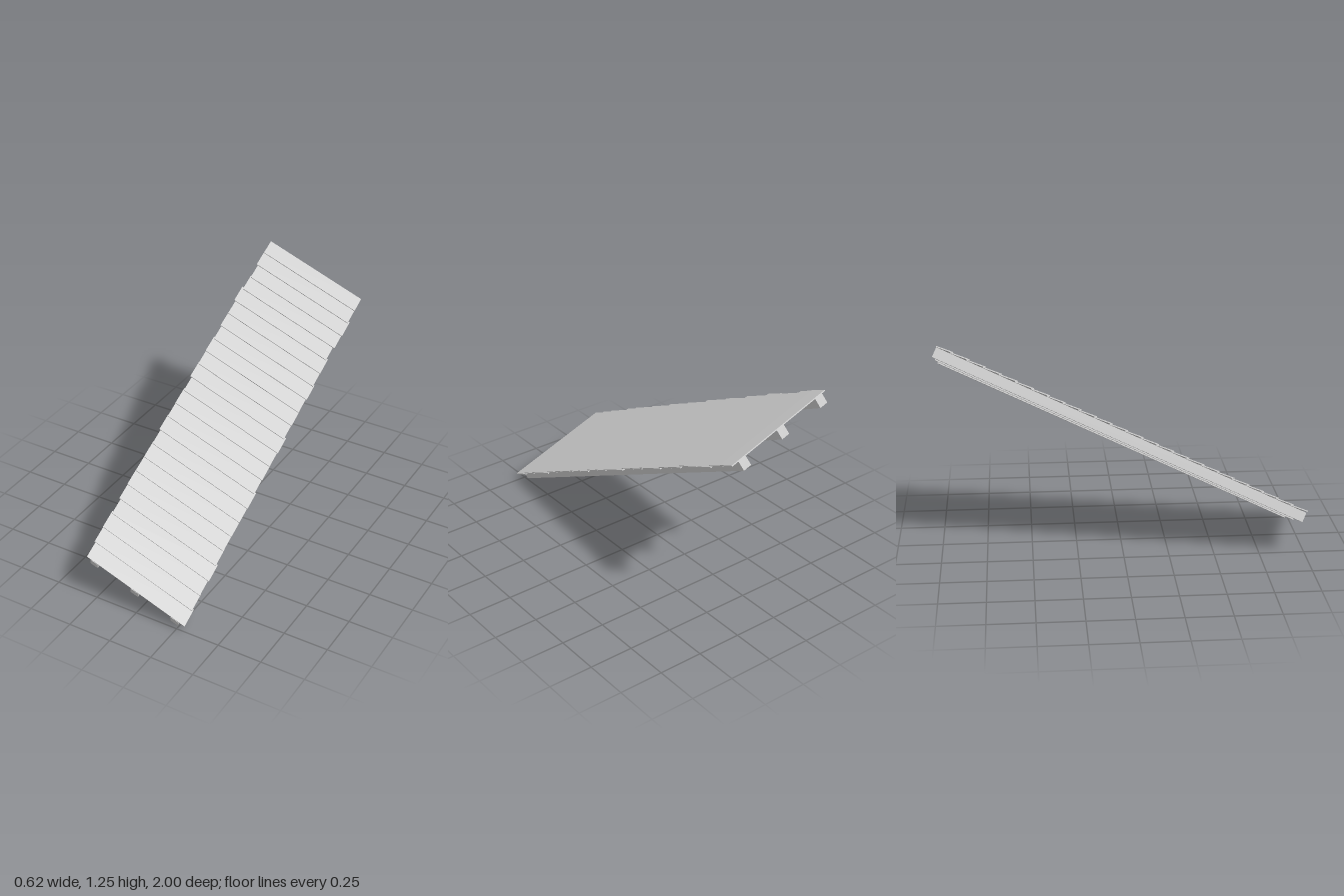
import * as THREE from 'three';

// Sloped deck plane: x and z stay world-aligned, y follows two slopes,
// and the local y axis is the true surface normal.
const slopeX = -0.37, slopeZ = -0.5;
const normal = new THREE.Vector3(-slopeX, 1, -slopeZ).normalize();
const slope = new THREE.Matrix4()
  .makeBasis(new THREE.Vector3(1, slopeX, 0), normal, new THREE.Vector3(0, slopeZ, 1))
  .setPosition(0, 0.645, 0);

const backZ = -0.975, frontZ = 1.0;
const rows = 24, pitch = (frontZ - backZ) / rows;
const plankLength = 0.597, plankThick = 0.006, lift = 0.007, overlap = 0.012;

// Sideways offset of each plank, back to front, in thousandths
const offsets = [0, -2, 5, 0, -10, -3, -5, 0, -6, -5, -8, 0,
  -5, -5, -8, -2, -5, -6, -8, -7, 0, -6, -5, 0];

export function createModel() {
  const model = new THREE.Group();
  model.name = 'plankedSlope';
  const material = new THREE.MeshStandardMaterial({ color: 0xcccccc, flatShading: true });

  const add = (geometry, name, parent) => {
    const mesh = new THREE.Mesh(geometry.applyMatrix4(slope), material);
    mesh.name = name;
    parent.add(mesh);
  };

  // Three joists under the deck
  const joists = new THREE.Group();
  joists.name = 'joists';
  model.add(joists);
  const joistDepth = 0.055;
  for (const x of [-0.255, -0.006, 0.237]) {
    const g = new THREE.BoxGeometry(0.045, joistDepth, frontZ - backZ);
    g.translate(x, -joistDepth / 2, (frontZ + backZ) / 2);
    add(g, 'joist', joists);
  }

  // Lapped planks: each front edge rests on the back edge of the plank below
  const planks = new THREE.Group();
  planks.name = 'planks';
  model.add(planks);
  offsets.forEach((offset, i) => {
    const front = backZ + (i + 1) * pitch;
    const back = front - pitch - (i > 0 ? overlap : 0);
    const g = new THREE.BoxGeometry(plankLength, plankThick, front - back);
    g.translate(offset / 1000, plankThick / 2, (front + back) / 2);
    const p = g.attributes.position;
    for (let k = 0; k < p.count; k++) {
      p.setY(k, p.getY(k) + lift * (p.getZ(k) - back) / (front - back));
    }
    g.computeVertexNormals();
    add(g, 'plank', planks);
  });

  return model;
}
